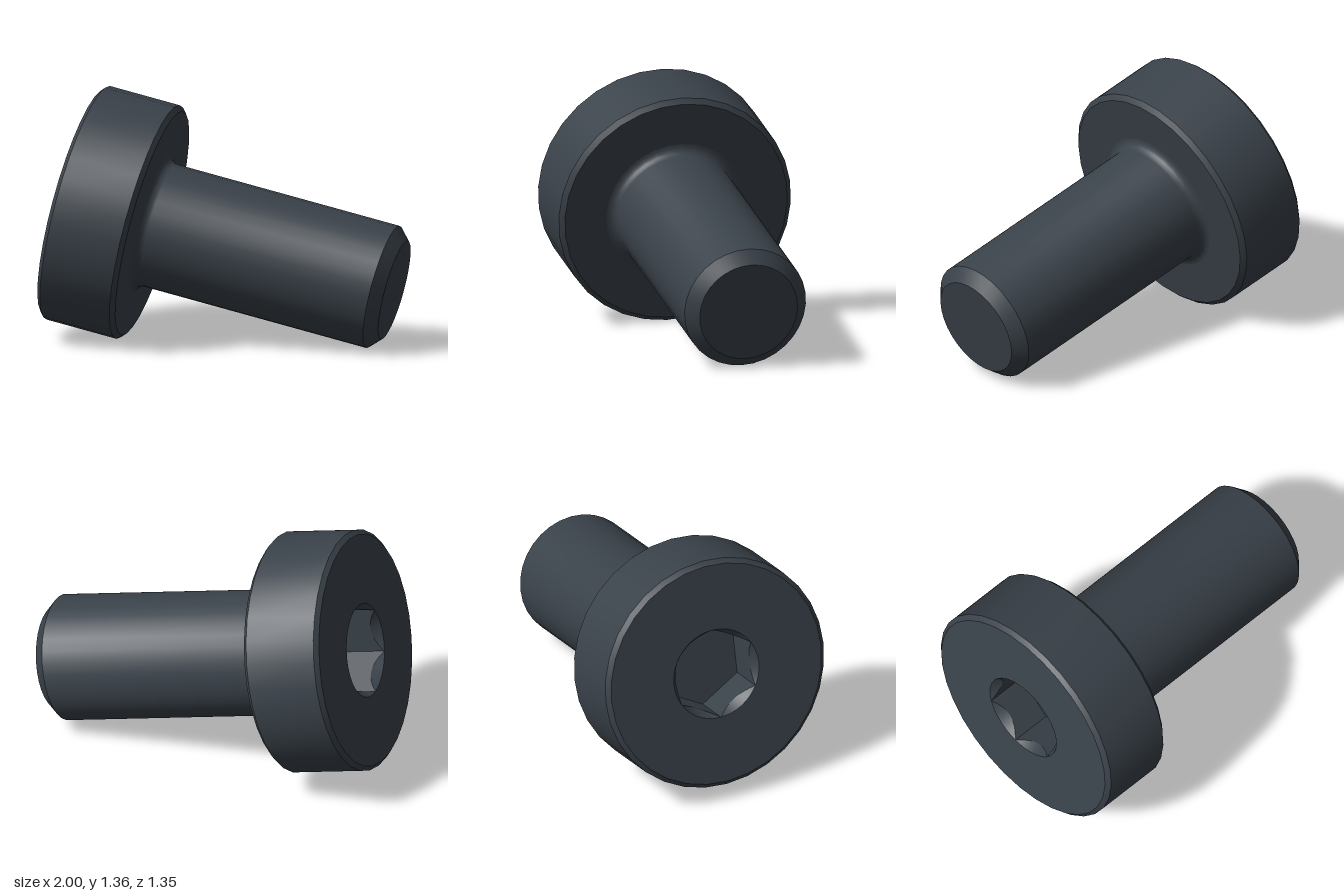
import * as THREE from 'three';
import { toCreasedNormals } from 'three/addons/utils/BufferGeometryUtils.js';

const SIDES = 32;
const FACE_Y = -0.022;      // outer face of the head
const SOCKET_R = 0.253;     // hexagon corner radius
const SOCKET_DEPTH = 0.23;

const steel = new THREE.MeshStandardMaterial({ color: 0x3a424a });
steel.name = 'dark steel';

function part(name, geometry) {
  const mesh = new THREE.Mesh(geometry, steel);
  mesh.name = name;
  return mesh;
}

function turned(name, profile) {
  const points = profile.map(([r, y]) => new THREE.Vector2(r, y));
  return part(name, toCreasedNormals(new THREE.LatheGeometry(points, SIDES), 0.5));
}

function circlePoints(radius, count) {
  return Array.from({ length: count }, (_, i) => {
    const a = (i / count) * Math.PI * 2;
    return new THREE.Vector2(Math.cos(a) * radius, Math.sin(a) * radius);
  });
}

// Hexagonal recess with a conical lead-in that cuts an arc into each flat
function socketGeometry(steps) {
  const hexRadius = (a) => {
    const sector = Math.PI / 3;
    const local = (a % sector) - sector / 2;
    return (SOCKET_R * Math.cos(sector / 2)) / Math.cos(local);
  };
  const rings = [
    () => [SOCKET_R, FACE_Y],
    (a) => [hexRadius(a), FACE_Y + (SOCKET_R - hexRadius(a)) * 1.5],
    (a) => [hexRadius(a), FACE_Y + SOCKET_DEPTH],
    () => [0, FACE_Y + SOCKET_DEPTH],
  ];
  const positions = [];
  const indices = [];
  for (const ring of rings) {
    for (let i = 0; i < steps; i++) {
      const a = (i / steps) * Math.PI * 2;
      const [r, y] = ring(a + 1e-9);
      positions.push(Math.cos(a) * r, y, Math.sin(a) * r);
    }
  }
  for (let j = 0; j < rings.length - 1; j++) {
    for (let i = 0; i < steps; i++) {
      const n = (i + 1) % steps;
      const a = j * steps + i, b = j * steps + n;
      const c = a + steps, d = b + steps;
      indices.push(a, b, c);
      if (j < rings.length - 2) indices.push(b, d, c);
    }
  }
  const geometry = new THREE.BufferGeometry();
  geometry.setAttribute('position', new THREE.Float32BufferAttribute(positions, 3));
  geometry.setIndex(indices);
  return toCreasedNormals(geometry, 0.4);
}

export function createModel() {
  const model = new THREE.Group();
  model.name = 'socketScrew';

  // Everything is built along local y, from the head face to the tip
  const screw = new THREE.Group();
  screw.name = 'screw';
  model.add(screw);

  // Head: chamfered disc, open on the outer face
  screw.add(turned('head', [
    [0.625, FACE_Y], [0.65, 0], [0.65, 0.394], [0.623, 0.418], [0.39, 0.418],
  ]));

  // Head face with a round opening
  const face = new THREE.Shape(circlePoints(0.625, SIDES));
  face.holes.push(new THREE.Path(circlePoints(SOCKET_R, 48)));
  const faceGeometry = new THREE.ShapeGeometry(face);
  faceGeometry.rotateX(Math.PI / 2).translate(0, FACE_Y, 0);
  screw.add(part('headFace', faceGeometry));

  screw.add(part('hexSocket', socketGeometry(48)));

  // Shank: fillet under the head, plain cylinder, chamfered tip
  const fillet = [];
  for (let i = 0; i <= 5; i++) {
    const a = (i / 5) * Math.PI / 2;
    fillet.push([0.39 - 0.05 * Math.sin(a), 0.468 - 0.05 * Math.cos(a)]);
  }
  screw.add(turned('shank', [...fillet, [0.34, 1.726], [0.274, 1.79], [0, 1.79]]));

  // Tilt the axis, with one socket corner pointing down
  const axis = new THREE.Vector3(0.953, -0.2245, 0.204).normalize();
  const down = new THREE.Vector3(0, -1, 0).projectOnPlane(axis).normalize();
  const side = new THREE.Vector3().crossVectors(down, axis);
  screw.quaternion.setFromRotationMatrix(new THREE.Matrix4().makeBasis(down, axis, side));
  screw.position.set(-0.79, 0.726, -0.044);

  return model;
}
